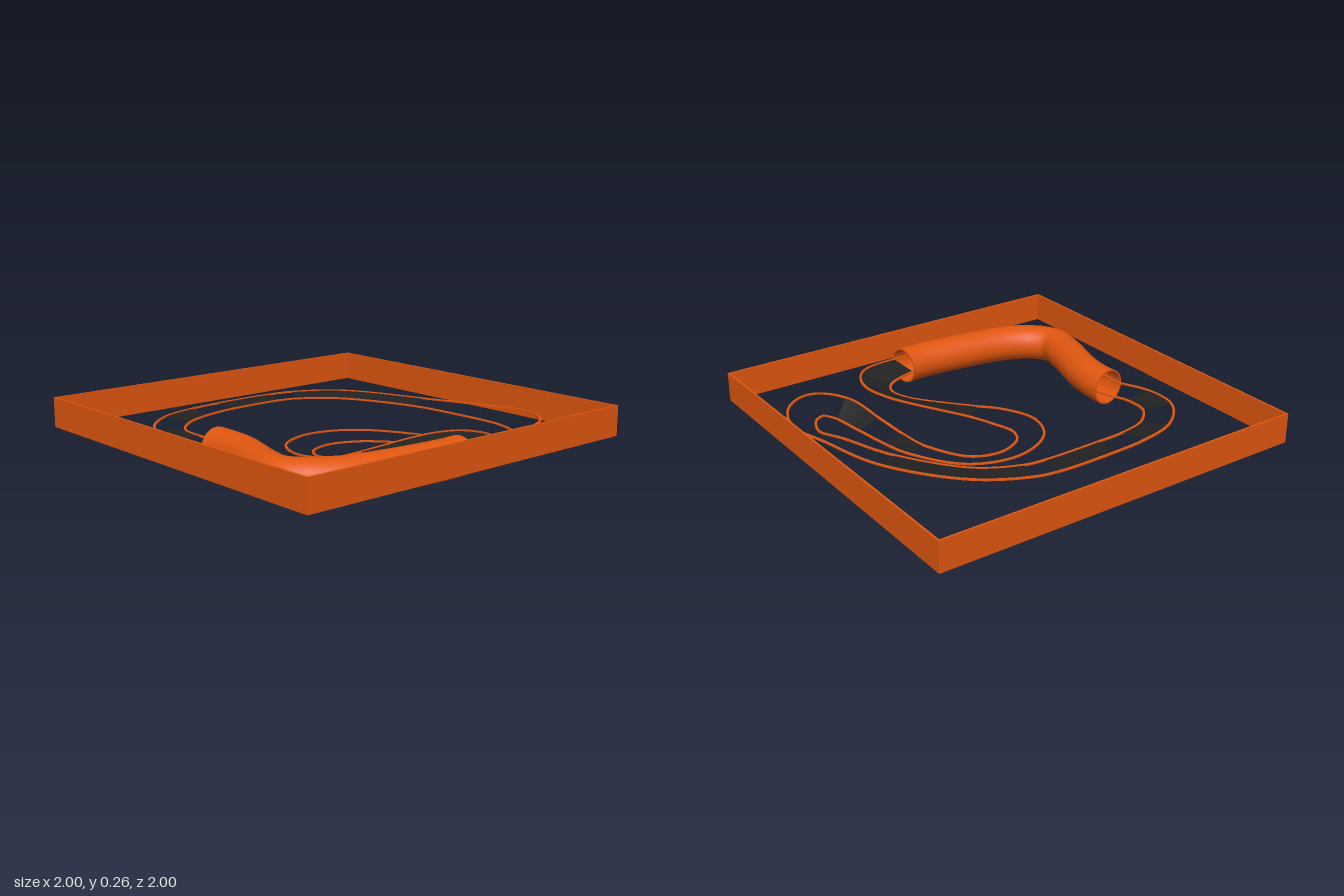
import * as THREE from 'three';

const orange = new THREE.MeshStandardMaterial({ color: 0xe0560f, side: THREE.DoubleSide });
orange.name = 'orange plastic';
const black = new THREE.MeshStandardMaterial({ color: 0x222222, side: THREE.DoubleSide });
black.name = 'black road';

// Open circuit stations: x, z, height, rise of the right-hand edge
const openStations = [
  [0.815, -0.06, 0.135, 0.01], [0.755, -0.26, 0.135, 0.028], [0.64, -0.32, 0.13, 0.03],
  [0.50, -0.27, 0.115, 0.025], [0.262, 0.035, 0.045, 0], [0.175, 0.12, 0.03, -0.012],
  [0.035, 0.18, 0.022, -0.017], [-0.11, 0.12, 0.022, -0.017], [-0.19, -0.07, 0.022, -0.017],
  [-0.125, -0.27, 0.022, -0.015], [0.115, -0.425, 0.028, -0.008], [0.265, -0.46, 0.034, 0],
  [0.445, -0.495, 0.052, 0.012], [0.61, -0.56, 0.095, 0.03], [0.66, -0.67, 0.125, 0.035],
  [0.605, -0.78, 0.13, 0.035], [0.44, -0.85, 0.13, 0.032], [0.23, -0.80, 0.138, 0.02],
  [-0.095, -0.705, 0.145, 0.008], [-0.46, -0.475, 0.162, 0.008], [-0.595, -0.255, 0.167, 0.005],
  [-0.62, -0.13, 0.168, 0.003], [-0.62, 0.20, 0.168, 0.003], [-0.605, 0.37, 0.165, 0.005],
  [-0.55, 0.555, 0.16, 0.008], [-0.41, 0.695, 0.155, 0.008], [-0.235, 0.715, 0.148, 0.004],
  [-0.05, 0.675, 0.135, 0],
];
// Level tunnel stations: x, z
const tunnelStations = [
  [0.15, 0.685], [0.43, 0.765], [0.57, 0.785], [0.675, 0.715], [0.745, 0.59], [0.80, 0.30],
].map(([x, z]) => [x, z, 0.135, 0]);

const stations = [...openStations, ...tunnelStations];
const N = stations.length;
const tunnelStart = openStations.length - 1;
const path = new THREE.CatmullRomCurve3(stations.map(([x, z, y]) => new THREE.Vector3(x, y, z)), true);
const banking = new THREE.CatmullRomCurve3(
  stations.map(([, , , rise]) => new THREE.Vector3(0, rise, 0)), true, 'catmullrom', 0.5);

// Local frame at a station number; the road widens towards the tunnel mouths
function frameAt(station) {
  const s = station % N, t = s / N;
  const tangent = path.getTangent(t);
  const toTunnel = Math.max(0, Math.min(s, tunnelStart - s));
  return {
    centre: path.getPoint(t),
    tangent,
    right: new THREE.Vector3(-tangent.z, 0, tangent.x).normalize(),
    half: 0.068 + 0.015 * Math.max(0, 1 - toTunnel / 4),
    bank: banking.getPoint(t).y,
  };
}

// Sweeps a cross-section of [across, up] points between two stations
function sweep(from, to, section, closed = true, flat = false) {
  const steps = (to - from) * 10;
  const positions = [], index = [];
  let n = 0;
  for (let i = 0; i <= steps; i++) {
    const f = frameAt(from + i / 10);
    const ring = section(f);
    n = ring.length;
    for (const [a, u] of ring) {
      positions.push(f.centre.x + f.right.x * a, f.centre.y + u, f.centre.z + f.right.z * a);
    }
  }
  for (let i = 0; i < steps; i++) {
    for (let j = 0; j < (closed ? n : n - 1); j++) {
      const a = i * n + j, b = i * n + (j + 1) % n, c = a + n, d = b + n;
      index.push(a, c, b, b, c, d);
    }
  }
  let geometry = new THREE.BufferGeometry();
  geometry.setAttribute('position', new THREE.Float32BufferAttribute(positions, 3));
  geometry.setIndex(index);
  if (flat) geometry = geometry.toNonIndexed();
  geometry.computeVertexNormals();
  return geometry;
}

export function createModel() {
  const model = new THREE.Group();
  model.name = 'raceCircuit';
  const add = (name, geometry, material, parent = model) => {
    const mesh = new THREE.Mesh(geometry, material);
    mesh.name = name;
    parent.add(mesh);
    return mesh;
  };

  // Square border of four thin walls
  const border = new THREE.Group();
  border.name = 'border';
  model.add(border);
  const wall = 0.01, height = 0.155, middle = 0.1875;
  for (const side of [-1, 1]) {
    add('borderWall', new THREE.BoxGeometry(2, height, wall), orange, border)
      .position.set(0, middle, side * (1 - wall / 2));
    add('borderWall', new THREE.BoxGeometry(wall, height, 2 - 2 * wall), orange, border)
      .position.set(side * (1 - wall / 2), middle, 0);
  }

  // Guide rails along both edges of the circuit
  const railWidth = 0.006, railHeight = 0.004;
  for (const side of [-1, 1]) {
    const section = ({ half, bank }) => [[1, -1], [1, 1], [-1, 1], [-1, -1]]
      .map(([a, u]) => [side * half + a * railWidth, side * bank + u * railHeight]);
    add(side < 0 ? 'leftRail' : 'rightRail', sweep(0, N, section, true, true), orange);
  }

  // Road panels, by first and last station
  const panels = [[0, 4], [10, 11], [12, 13], [18, 20], [21, 22], [23, 24], [25, 26]];
  const road = ({ half, bank }) => [[half, bank], [-half, -bank]];
  for (const [from, to] of panels) add('roadPanel', sweep(from, to, road, false), black);

  // Tunnel: outer skin, inner skin and an end ring at each mouth
  const tunnel = new THREE.Group();
  tunnel.name = 'tunnel';
  model.add(tunnel);
  const outer = 0.096, inner = 0.088;
  const circle = (radius, turn) => () => Array.from({ length: 32 }, (_, i) => {
    const angle = turn * i / 32 * Math.PI * 2;
    return [radius * Math.cos(angle), radius * Math.sin(angle)];
  });
  add('tunnelOutside', sweep(tunnelStart, N, circle(outer, 1)), orange, tunnel);
  add('tunnelInside', sweep(tunnelStart, N, circle(inner, -1)), orange, tunnel);
  for (const [station, facing] of [[tunnelStart, -1], [N, 1]]) {
    const { centre, tangent } = frameAt(station);
    const ring = add('tunnelMouth', new THREE.RingGeometry(inner, outer, 32), orange, tunnel);
    ring.position.copy(centre);
    tangent.y = 0;
    ring.lookAt(centre.clone().addScaledVector(tangent, facing));
  }
  return model;
}
